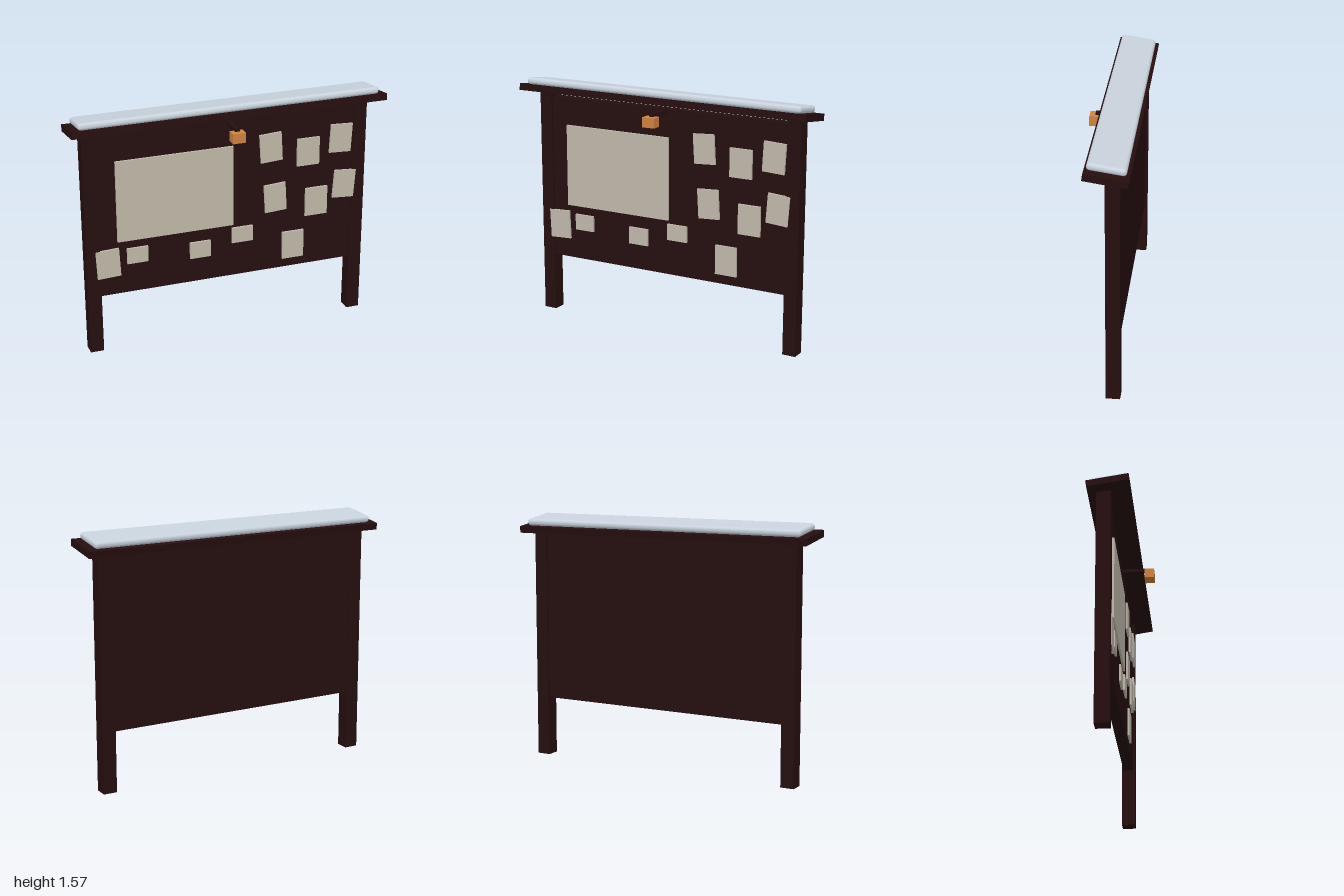
import * as THREE from 'three';
import { RoundedBoxGeometry } from 'three/addons/geometries/RoundedBoxGeometry.js';

export function createModel() {
  const group = new THREE.Group();
  const material = (name, color) => {
    const m = new THREE.MeshStandardMaterial({ color });
    m.name = name;
    return m;
  };
  const wood = material('dark wood', 0x250e0e);
  const paper = material('paper', 0xc0b9aa);
  const snow = material('snow', 0xc8d2dc);
  const amber = material('amber lantern', 0xcf823e);

  const add = (name, geometry, mat, x, y, z, parent = group) => {
    const mesh = new THREE.Mesh(geometry, mat);
    mesh.name = name;
    mesh.position.set(x, y, z);
    parent.add(mesh);
    return mesh;
  };
  const box = (w, h, d) => new THREE.BoxGeometry(w, h, d);

  // Posts and the board between them
  for (const [name, side] of [['leftPost', 1], ['rightPost', -1]]) {
    add(name, box(0.086, 1.465, 0.086), wood, side * 0.877, 0.7325, -0.068);
  }
  add('board', box(1.68, 1.06, 0.066), wood, 0, 0.91, -0.068);

  // Tilted roof plank with a rounded blanket of snow
  const roof = new THREE.Group();
  roof.name = 'roof';
  roof.position.set(0, 1.488, -0.0375);
  roof.rotation.x = -0.145;
  group.add(roof);
  add('roofPlank', box(2, 0.042, 0.256), wood, 0, 0, 0, roof);
  add('snowLayer', new RoundedBoxGeometry(1.91, 0.044, 0.225, 4, 0.02), snow, 0, 0.043, 0.005, roof);

  // Notices: centre x, centre y, width, height, tilt
  const notices = [
    [-0.345, 1.0, 0.75, 0.53, 0],
    [0.28, 1.222, 0.144, 0.187, 0.06],
    [0.53, 1.162, 0.15, 0.182, 0],
    [0.75, 1.224, 0.146, 0.187, -0.05],
    [0.312, 0.88, 0.144, 0.187, 0.06],
    [0.782, 0.909, 0.146, 0.187, -0.07],
    [0.592, 0.816, 0.15, 0.19, 0],
    [0.437, 0.535, 0.146, 0.187, 0],
    [0.092, 0.661, 0.14, 0.104, 0],
    [-0.188, 0.599, 0.135, 0.11, 0],
    [-0.595, 0.629, 0.135, 0.104, 0],
    [-0.784, 0.598, 0.15, 0.187, 0.045],
  ];
  notices.forEach(([x, y, w, h, tilt], i) => {
    const sheet = add(i ? 'notice' + i : 'largeNotice', box(w, h, 0.016), paper, x, y, -0.0295);
    sheet.rotation.z = tilt;
  });

  // Small lantern on its arm
  add('lanternArm', box(0.028, 0.022, 0.175), wood, 0, 1.426, 0.045);
  add('lantern', box(0.082, 0.062, 0.062), amber, 0, 1.39, 0.138);

  return group;
}
